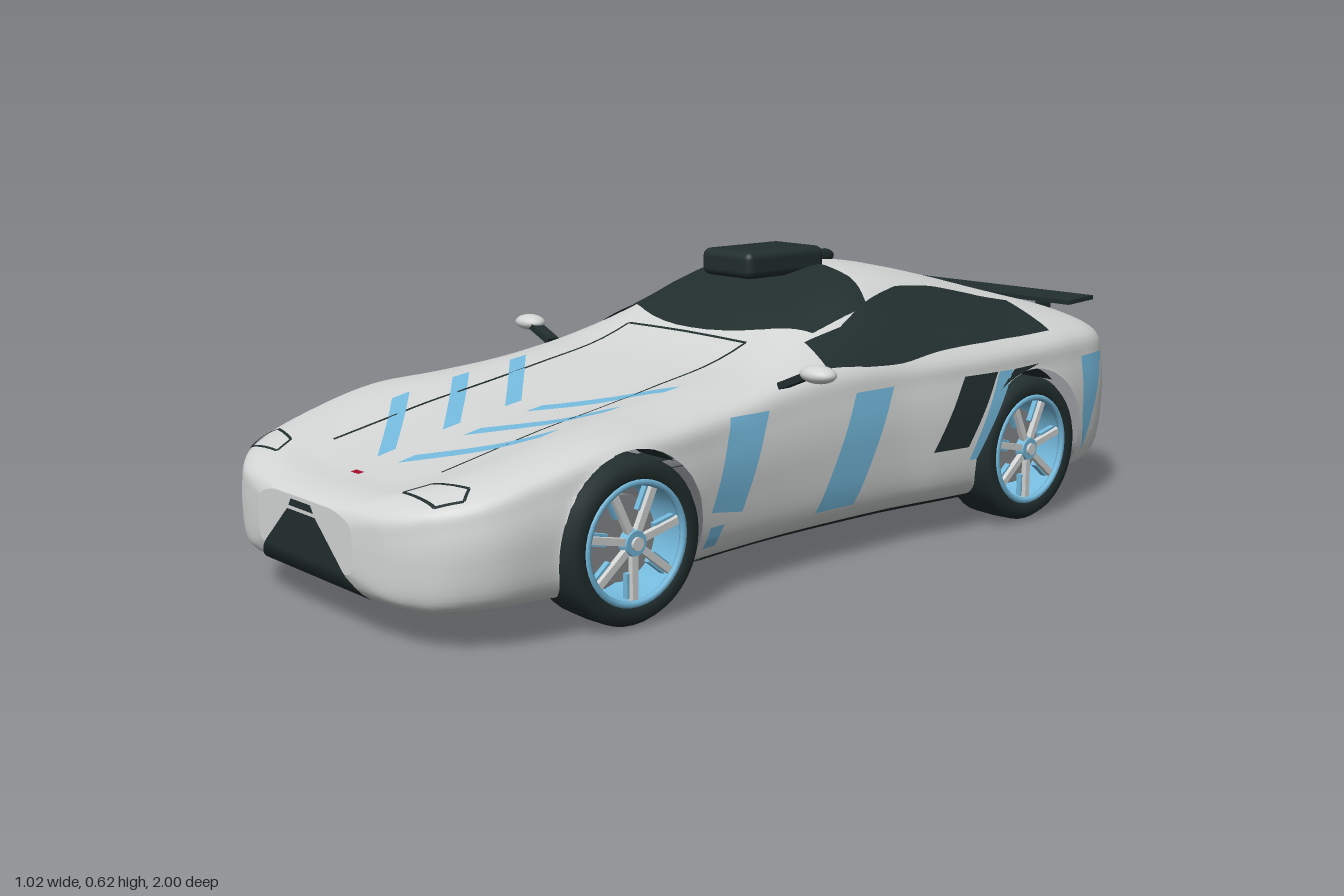
import * as THREE from 'three';
import { RoundedBoxGeometry } from 'three/addons/geometries/RoundedBoxGeometry.js';

const mat = (name, color, side = THREE.FrontSide) => {
  const m = new THREE.MeshStandardMaterial({ color, side });
  m.name = name;
  return m;
};

// body stations, back to front: z, half width, bottom, shoulder, roof edge x, roof edge y, centre top
const STATIONS = [
  [-0.99, 0.24, 0.18, 0.35, 0.17, 0.375, 0.385], [-0.975, 0.31, 0.14, 0.37, 0.22, 0.395, 0.41],
  [-0.94, 0.37, 0.11, 0.385, 0.26, 0.415, 0.428], [-0.88, 0.42, 0.085, 0.4, 0.28, 0.435, 0.45],
  [-0.75, 0.448, 0.07, 0.41, 0.28, 0.465, 0.487], [-0.6, 0.452, 0.066, 0.41, 0.26, 0.492, 0.53],
  [-0.45, 0.447, 0.066, 0.41, 0.255, 0.52, 0.563], [-0.3, 0.43, 0.066, 0.41, 0.25, 0.535, 0.577],
  [-0.2, 0.415, 0.066, 0.41, 0.255, 0.53, 0.565], [-0.05, 0.408, 0.066, 0.408, 0.265, 0.48, 0.505],
  [0.05, 0.405, 0.066, 0.4, 0.28, 0.44, 0.45], [0.15, 0.405, 0.066, 0.385, 0.28, 0.41, 0.412],
  [0.3, 0.413, 0.066, 0.362, 0.28, 0.388, 0.378], [0.45, 0.43, 0.066, 0.35, 0.28, 0.37, 0.345],
  [0.6, 0.44, 0.066, 0.342, 0.3, 0.352, 0.32], [0.75, 0.427, 0.068, 0.31, 0.3, 0.32, 0.29],
  [0.88, 0.39, 0.07, 0.275, 0.27, 0.288, 0.264], [0.95, 0.325, 0.075, 0.255, 0.22, 0.265, 0.256],
  [0.985, 0.25, 0.095, 0.235, 0.17, 0.245, 0.246], [1, 0.17, 0.12, 0.22, 0.11, 0.235, 0.237],
];
const WHEELS = [
  { name: 'front', z: 0.565, y: 0.159, r: 0.159, arch: 0.174, out: 0.44 },
  { name: 'rear', z: -0.583, y: 0.164, r: 0.164, arch: 0.183, out: 0.45 },
];
const stationCurve = new THREE.CubicInterpolant(
  STATIONS.map((s) => s[0]), STATIONS.flatMap((s) => s.slice(1)), 6, new Array(6));

// half cross-section at z, from the floor centre over the side to the roof centre
function section(z, n) {
  const [w, b, s, r, e, t] = stationCurve.evaluate(z);
  const h = s - b;
  const curve = new THREE.SplineCurve([
    [0, b], [0.45 * w, b], [0.8 * w, b + 0.002], [0.96 * w, b + 0.13 * h], [w, b + 0.5 * h],
    [0.985 * w, b + 0.8 * h], [0.93 * w, s], [r, e], [0.55 * r, e + (t - e) * 0.75], [0, t],
  ].map(([x, y]) => new THREE.Vector2(x, y)));
  return Array.from({ length: n + 1 }, (_, i) => curve.getPoint(i / n));
}

function inside(x, y, z) {
  if (z > 1 || z < -0.99) return false;
  const p = section(z, 36), ax = Math.max(Math.abs(x), 1e-4);
  let hit = false;
  for (let i = 0, j = p.length - 1; i < p.length; j = i++) {
    if (p[i].y > y !== p[j].y > y &&
      ax < (p[j].x - p[i].x) * (y - p[i].y) / (p[j].y - p[i].y) + p[i].x) hit = !hit;
  }
  return hit;
}

// projects a 2D point on the body: x takes (z, y), y takes (x, z), z takes (x, y)
const SPAN = { x: [0, 0.6], y: [0.2, 0.7], z: [0, 1.1] };
function project(axis, sign, [a, b]) {
  const at = (k) => (axis === 'x' ? [k, b, a] : axis === 'y' ? [a, k, b] : [a, b, k]);
  let [lo, hi] = SPAN[axis];
  if (axis === 'y') hi = sign > 0 ? hi : 0;
  else hi *= sign;
  for (let i = 0; i < 16; i++) {
    const m = (lo + hi) / 2;
    if (inside(...at(m))) lo = m; else hi = m;
  }
  return at(lo);
}

// thin patch on the body, stretched between two polylines
function patch(group, name, material, axis, sign, A, B, n = 8, m = 4) {
  const along = (P, t) => {
    const f = t * (P.length - 1), i = Math.min(Math.floor(f), P.length - 2), k = f - i;
    return [0, 1].map((c) => P[i][c] * (1 - k) + P[i + 1][c] * k);
  };
  const pos = [], idx = [];
  for (let i = 0; i <= n; i++) for (let j = 0; j <= m; j++) {
    const p = along(A, i / n), q = along(B, i / n), k = j / m;
    pos.push(...project(axis, sign, [p[0] + (q[0] - p[0]) * k, p[1] + (q[1] - p[1]) * k]));
    if (i < n && j < m) {
      const a = i * (m + 1) + j, d = a + m + 1;
      idx.push(a, d, d + 1, a, d + 1, a + 1);
    }
  }
  const g = new THREE.BufferGeometry();
  g.setAttribute('position', new THREE.Float32BufferAttribute(pos, 3));
  g.setIndex(idx);
  g.computeVertexNormals();
  const c = 'xyz'.indexOf(axis);
  let facing = 0;
  for (let i = c; i < pos.length; i += 3) facing += g.attributes.normal.array[i] * sign;
  if (facing < 0) {
    g.setIndex(idx.reverse());
    g.computeVertexNormals();
  }
  const P = g.attributes.position.array, N = g.attributes.normal.array;
  for (let i = 0; i < P.length; i++) P[i] += N[i] * 0.004;
  add(group, name, g, material);
}

// thin line on the body
function line(group, name, material, axis, sign, pts, width) {
  for (let i = 0; i + 1 < pts.length; i++) {
    const [p, q] = [pts[i], pts[i + 1]];
    const dx = q[0] - p[0], dy = q[1] - p[1], k = width / 2 / Math.hypot(dx, dy);
    const shift = (s) => [p, q].map((v) => [v[0] - dy * k * s, v[1] + dx * k * s]);
    patch(group, name, material, axis, sign, shift(1), shift(-1), 10, 1);
  }
}

function add(group, name, geometry, material, x = 0, y = 0, z = 0) {
  const mesh = new THREE.Mesh(geometry, material);
  mesh.name = name;
  mesh.position.set(x, y, z);
  group.add(mesh);
  return mesh;
}

// lofted shell with round wheel openings
function bodyGeometry() {
  const N = 140, M = 54, W = 2 * M, pos = [], idx = [], cut = [];
  for (let i = 0; i <= N; i++) {
    const z = -0.99 + 1.99 * (0.5 - 0.5 * Math.cos((Math.PI * i) / N));
    const half = section(z, M);
    for (let j = 0; j < W; j++) {
      const p = half[j <= M ? j : W - j], x = j <= M ? p.x : -p.x;
      const w = WHEELS.find((k) => Math.hypot(z - k.z, p.y - k.y) < k.arch);
      let y = p.y, zz = z;
      if (w && Math.abs(x) > 0.3) {
        const dy = y - w.y, dz = z - w.z;
        if (dy > 0) {
          const f = w.arch / Math.hypot(dy, dz);
          y = w.y + dy * f;
          zz = w.z + dz * f;
        } else zz = w.z + (Math.sign(dz) || 1) * Math.sqrt(w.arch ** 2 - dy ** 2);
      }
      pos.push(x, y, zz);
      cut.push(!!w);
    }
  }
  const tri = (...t) => {
    const x = Math.abs(t.reduce((s, v) => s + pos[v * 3], 0) / 3);
    if (!(x > 0.3 && t.every((v) => cut[v]))) idx.push(...t);
  };
  const back = pos.length / 3, front = back + 1;
  pos.push(0, 0.28, -0.99, 0, 0.18, 1);
  cut.push(false, false);
  for (let j = 0; j < W; j++) {
    const k = (j + 1) % W;
    for (let i = 0; i < N; i++) {
      const a = i * W + j, b = i * W + k;
      tri(a, b, b + W);
      tri(a, b + W, a + W);
    }
    tri(back, k, j);
    tri(front, N * W + j, N * W + k);
  }
  const g = new THREE.BufferGeometry();
  g.setAttribute('position', new THREE.Float32BufferAttribute(pos, 3));
  g.setIndex(idx);
  g.computeVertexNormals();
  return g;
}

// wheel built around the y axis, outer side up, then turned outward
function makeWheel(w, M) {
  const g = new THREE.Group(), r = w.r, h = 0.065;
  const V = (a, b) => new THREE.Vector2(a * r, b * h);
  add(g, 'tire', new THREE.LatheGeometry([V(0.74, -0.9), V(0.8, -1), V(0.93, -0.97), V(0.99, -0.75),
    V(1, 0), V(0.99, 0.75), V(0.93, 0.97), V(0.8, 1), V(0.74, 0.9)], 40), M.dark);
  add(g, 'rimBarrel', new THREE.CylinderGeometry(r * 0.74, r * 0.74, h * 1.8, 36, 1, true), M.blue);
  add(g, 'rimRing', new THREE.TorusGeometry(r * 0.72, r * 0.045, 8, 40).rotateX(Math.PI / 2), M.blue, 0, h * 0.88);
  add(g, 'brakeDisc', new THREE.CylinderGeometry(r * 0.52, r * 0.52, 0.014, 32), M.grey, 0, 0.005);
  for (let i = 0; i < 7; i++) {
    const spoke = new THREE.Group();
    spoke.rotation.y = (i / 7) * Math.PI * 2;
    add(spoke, 'spoke', new THREE.BoxGeometry(r * 0.66, 0.012, 0.014), M.body, r * 0.38, h * 0.75);
    add(spoke, 'spokeInlay', new THREE.BoxGeometry(r * 0.3, 0.012, 0.024), M.blue, r * 0.52, h * 0.6);
    g.add(spoke);
  }
  add(g, 'hub', new THREE.CylinderGeometry(r * 0.15, r * 0.17, 0.02, 20), M.blue, 0, h * 0.75);
  add(g, 'hubCap', new THREE.CylinderGeometry(r * 0.08, r * 0.08, 0.006, 16), M.body, 0, h * 0.95);
  return g;
}

export function createModel() {
  const car = new THREE.Group();
  car.name = 'car';
  const M = {
    body: mat('silver paint', 0xd2d4d4), dark: mat('dark trim', 0x222e2e, THREE.DoubleSide),
    blue: mat('blue accent', 0x74b9dc, THREE.DoubleSide), red: mat('red light', 0xa00f2c),
    grey: mat('brake grey', 0x868a8c),
  };
  add(car, 'body', bodyGeometry(), M.body);

  // windscreen
  const across = Array.from({ length: 13 }, (_, i) => -0.29 + (0.58 * i) / 12);
  patch(car, 'windscreen', M.dark, 'y', 1, across.map((x) => [x, 0.045 - 0.95 * x * x]),
    across.map((x) => [x, -0.28 + 0.95 * x * x]), 36, 14);

  for (const s of [1, -1]) {
    const mx = (pts) => pts.map(([x, z]) => [x * s, z]);
    // side glass
    patch(car, 'sideWindow', M.dark, 'y', 1,
      mx([[0.375, 0.01], [0.388, -0.1], [0.395, -0.2], [0.402, -0.33], [0.41, -0.45], [0.412, -0.57], [0.41, -0.68]]),
      mx([[0.3, 0], [0.305, -0.1], [0.28, -0.2], [0.25, -0.33], [0.248, -0.45], [0.26, -0.57], [0.285, -0.68]]), 36, 12);
    // bonnet chevrons and shut lines
    for (let i = 0; i < 3; i++) {
      const z = 0.3 + i * 0.15;
      patch(car, 'bonnetStripe', M.blue, 'y', 1, mx([[0.255, z], [0.035, z + 0.175]]),
        mx([[0.255, z + 0.043], [0.035, z + 0.216]]), 14, 3);
    }
    line(car, 'bonnetLine', M.dark, 'y', 1, mx([[0.19, 0.82], [0.19, 0.45], [0.19, 0.06], [0, 0.06]]), 0.007);
    line(car, 'headlightOutline', M.dark, 'y', 1,
      mx([[0.225, 0.925], [0.25, 0.88], [0.335, 0.86], [0.355, 0.885], [0.325, 0.925], [0.225, 0.925]]), 0.006);
    // side stripes, vents and sill
    const side = (name, m, A, B) => patch(car, name, m, 'x', s, A, B, 10, 4);
    side('sideStripe', M.blue, [[0.3, 0.35], [0.37, 0.18]], [[0.195, 0.35], [0.28, 0.165]]);
    side('sideStripe', M.blue, [[0.37, 0.15], [0.385, 0.11]], [[0.33, 0.15], [0.35, 0.11]]);
    side('sideStripe', M.blue, [[-0.05, 0.355], [0.06, 0.12]], [[-0.16, 0.355], [-0.05, 0.12]]);
    side('sideVent', M.dark, [[-0.36, 0.355], [-0.27, 0.2]], [[-0.46, 0.355], [-0.37, 0.2]]);
    side('sideStripe', M.blue, [[-0.465, 0.355], [-0.375, 0.17]], [[-0.51, 0.355], [-0.397, 0.17]]);
    side('sideVent', M.dark, [[-0.515, 0.355], [-0.46, 0.31]], [[-0.6, 0.358], [-0.49, 0.33]]);
    side('rearStripe', M.blue, [[-0.765, 0.355], [-0.77, 0.21]], [[-0.865, 0.355], [-0.785, 0.13]]);
    side('sill', M.dark, [[0.37, 0.088], [-0.42, 0.088]], [[0.37, 0.07], [-0.42, 0.07]]);
    // underside seams and diffuser slots
    line(car, 'floorSeam', M.dark, 'y', -1,
      mx([[0, 0.93], [0.24, 0.91], [0.32, 0.8]]), 0.014);
    line(car, 'floorSeam', M.dark, 'y', -1,
      mx([[0.29, 0.38], [0.29, -0.3], [0.25, -0.38], [0, -0.4]]), 0.008);
    for (const x of [0.04, 0.12]) line(car, 'diffuserSlot', M.dark, 'y', -1, mx([[x, -0.72], [x, -0.82]]), 0.012);
    // door mirrors
    const pod = add(car, 'mirror', new THREE.SphereGeometry(1, 24, 16), M.body, 0.467 * s, 0.424, 0.13);
    pod.scale.set(0.042, 0.018, 0.03);
    const arm = add(car, 'mirrorArm', new THREE.BoxGeometry(0.075, 0.014, 0.03), M.dark, 0.41 * s, 0.405, 0.135);
    arm.rotation.z = 0.4 * s;
    // exhausts
    add(car, 'exhaust', new THREE.CylinderGeometry(0.02, 0.02, 0.06, 20).rotateX(Math.PI / 2), M.dark, 0.2 * s, 0.185, -0.97);
    // wheels and arch liners
    for (const w of WHEELS) {
      const wheel = makeWheel(w, M);
      wheel.name = w.name + 'Wheel';
      wheel.position.set((w.out - 0.065) * s, w.y, w.z);
      wheel.rotation.z = (-Math.PI / 2) * s;
      car.add(wheel);
      const liner = new THREE.CylinderGeometry(w.arch, w.arch, 0.1, 20, 1, true, -0.7, 1.4);
      add(car, w.name + 'ArchLiner', liner.rotateX(-Math.PI / 2).rotateY(Math.PI / 2), M.dark, 0.36 * s, w.y, w.z);
    }
  }

  // nose
  patch(car, 'grille', M.dark, 'z', 1, [[-0.05, 0.21], [0.05, 0.21]], [[-0.19, 0.085], [0.19, 0.085]], 20, 14);
  patch(car, 'noseSlot', M.dark, 'z', 1, [[-0.035, 0.231], [0.035, 0.231]], [[-0.045, 0.217], [0.045, 0.217]]);
  patch(car, 'noseBadge', M.red, 'y', 1, [[-0.014, 0.875], [0.014, 0.875]], [[-0.014, 0.888], [0.014, 0.888]]);

  // tail
  const rear = (name, m, x, y0, y1) => patch(car, name, m, 'z', -1, [[-x, y1], [x, y1]], [[-x, y0], [x, y0]], 16, 3);
  rear('tailLight', M.red, 0.21, 0.325, 0.35);
  rear('lowerTailLight', M.red, 0.012, 0.212, 0.222);
  rear('rearVent', M.dark, 0.17, 0.183, 0.2);
  rear('diffuser', M.dark, 0.11, 0.118, 0.158);
  line(car, 'plateOutline', M.dark, 'z', -1,
    [[-0.065, 0.24], [0.065, 0.24], [0.065, 0.31], [-0.065, 0.31], [-0.065, 0.24]], 0.006);

  // spoiler, roof sensor and fin
  const wing = add(car, 'spoiler', new THREE.BoxGeometry(0.71, 0.01, 0.095), M.dark, 0, 0.466, -0.877);
  wing.rotation.x = 0.05;
  for (const x of [-0.25, 0.25]) add(car, 'spoilerPost', new THREE.BoxGeometry(0.015, 0.04, 0.04), M.dark, x, 0.446, -0.87);
  add(car, 'roofSensor', new RoundedBoxGeometry(0.158, 0.06, 0.236, 4, 0.018), M.dark, 0, 0.586, -0.172);
  const fin = add(car, 'roofFin', new THREE.SphereGeometry(1, 16, 10), M.dark, 0, 0.58, -0.36);
  fin.scale.set(0.01, 0.018, 0.04);
  return car;
}
